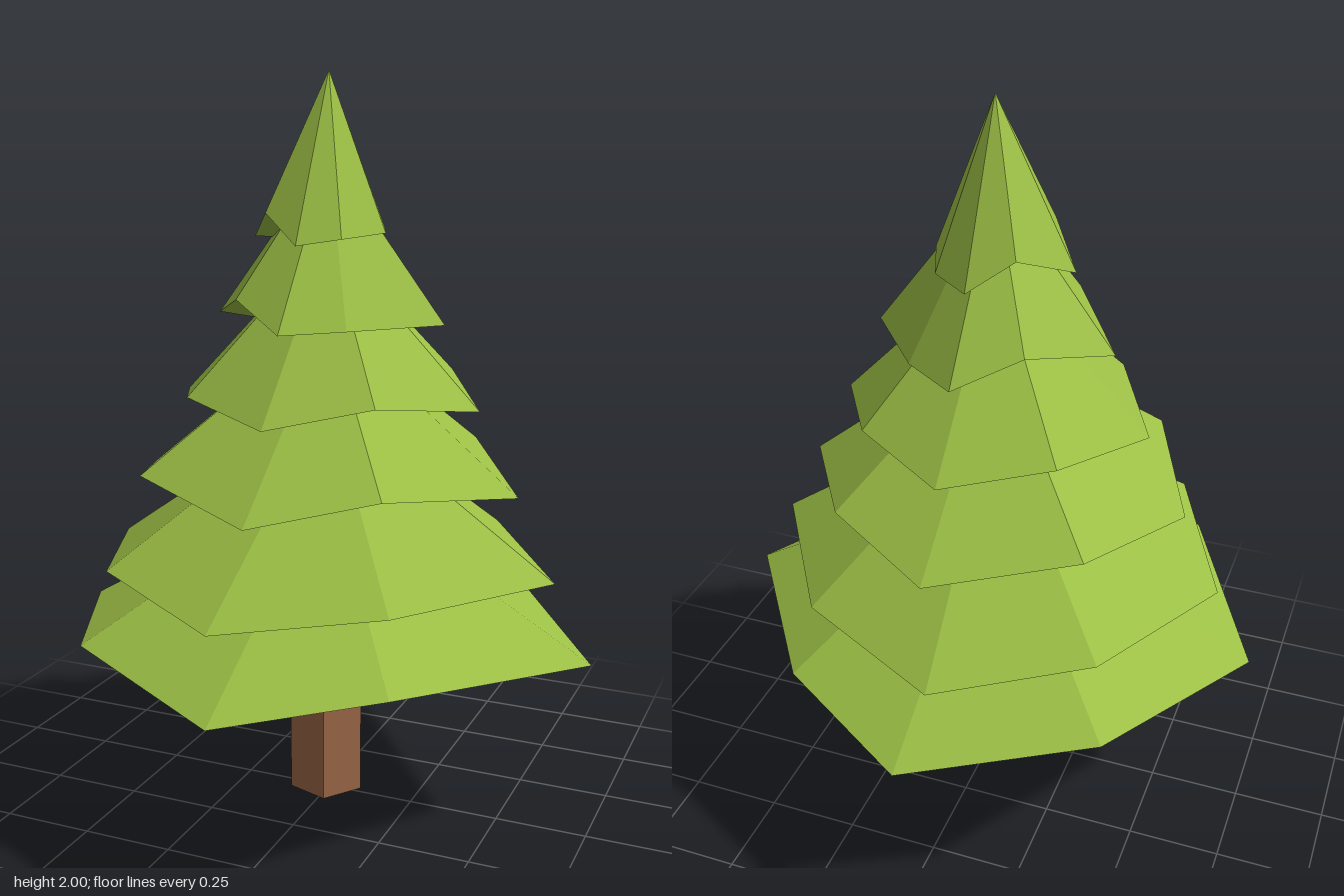
import * as THREE from 'three';

const leafGreen = new THREE.MeshStandardMaterial({ color: 0x9cbf45, flatShading: true });
leafGreen.name = 'leafGreen';
const barkBrown = new THREE.MeshStandardMaterial({ color: 0x9c6847, flatShading: true });
barkBrown.name = 'barkBrown';

// Faceted mesh from a list of triangles, each three [x, y, z] corners
function facetMesh(name, triangles, material) {
  const geometry = new THREE.BufferGeometry();
  geometry.setAttribute('position', new THREE.Float32BufferAttribute(triangles.flat(2), 3));
  geometry.computeVertexNormals();
  const mesh = new THREE.Mesh(geometry, material);
  mesh.name = name;
  return mesh;
}

// Flat cap, fanned from the corner at index start; faces down unless up is set
function cap(ring, start, up = false) {
  const n = ring.length, tris = [];
  for (let i = 1; i < n - 1; i++) {
    const a = ring[(start + i) % n], b = ring[(start + i + 1) % n];
    tris.push(up ? [ring[start], b, a] : [ring[start], a, b]);
  }
  return tris;
}

// Eight-sided branch skirt: drooping tips on the axes, raised corners between
function branchTier(t, index) {
  const { right, left, depth, mid = 0, dr, dl, dz, y, yFront = y, yRight = y, yr, yl, top } = t;
  const ring = [
    [right, yRight, 0], [dr, yr, dz], [mid, yFront, depth], [dl, yl, dz],
    [-left, y, 0], [dl, yl, -dz], [mid, yFront, -depth], [dr, yr, -dz],
  ];
  const tris = cap(ring, 1);
  ring.forEach((a, i) => tris.push([ring[(i + 1) % 8], a, [0, top, 0]]));
  return facetMesh(`branchTier${index + 1}`, tris, leafGreen);
}

// Five-sided trunk with a bend, lofted through [y, centre x, centre z, radius]
function trunk() {
  const rings = [
    [0, -0.015, -0.02, 0.105],
    [0.3, -0.015, -0.02, 0.105],
    [0.43, 0, 0.015, 0.09],
    [0.62, 0, 0.025, 0.08],
  ].map(([y, cx, cz, r]) => Array.from({ length: 5 }, (_, i) => {
    const angle = (i / 5) * Math.PI * 2;
    return [cx + r * Math.cos(angle), y, cz + r * Math.sin(angle)];
  }));
  const tris = [...cap(rings[0], 0), ...cap(rings[3], 0, true)];
  for (let k = 0; k < 3; k++) {
    for (let i = 0; i < 5; i++) {
      const j = (i + 1) % 5, lo = rings[k], hi = rings[k + 1];
      tris.push([lo[j], lo[i], hi[i]], [lo[j], hi[i], hi[j]]);
    }
  }
  return facetMesh('trunk', tris, barkBrown);
}

export function createModel() {
  const tree = new THREE.Group();
  tree.name = 'pineTree';
  tree.add(trunk());

  // Tiers from the ground up: tip reaches, diagonal corners and heights
  const tiers = [
    { right: 0.745, left: 0.745, depth: 0.745, dr: 0.38, dl: -0.475, dz: 0.53, y: 0.49, yr: 0.54, yl: 0.55, top: 0.93 },
    { right: 0.64, left: 0.64, depth: 0.64, mid: -0.05, dr: 0.35, dl: -0.435, dz: 0.455, y: 0.7, yFront: 0.68, yr: 0.715, yl: 0.735, top: 1.15 },
    { right: 0.535, left: 0.535, depth: 0.535, dr: 0.3, dl: -0.37, dz: 0.38, y: 0.92, yr: 0.98, yl: 0.98, top: 1.36 },
    { right: 0.425, left: 0.425, depth: 0.425, dr: 0.25, dl: -0.27, dz: 0.3, y: 1.14, yr: 1.19, yl: 1.18, top: 1.58 },
    { right: 0.325, left: 0.325, depth: 0.325, dr: 0.145, dl: -0.16, dz: 0.23, y: 1.36, yr: 1.365, yl: 1.43, top: 1.79 },
    { right: 0.16, left: 0.215, depth: 0.215, dr: 0.1, dl: -0.11, dz: 0.155, y: 1.57, yRight: 1.59, yr: 1.585, yl: 1.645, top: 2 },
  ];
  tiers.forEach((t, i) => tree.add(branchTier(t, i)));
  return tree;
}
